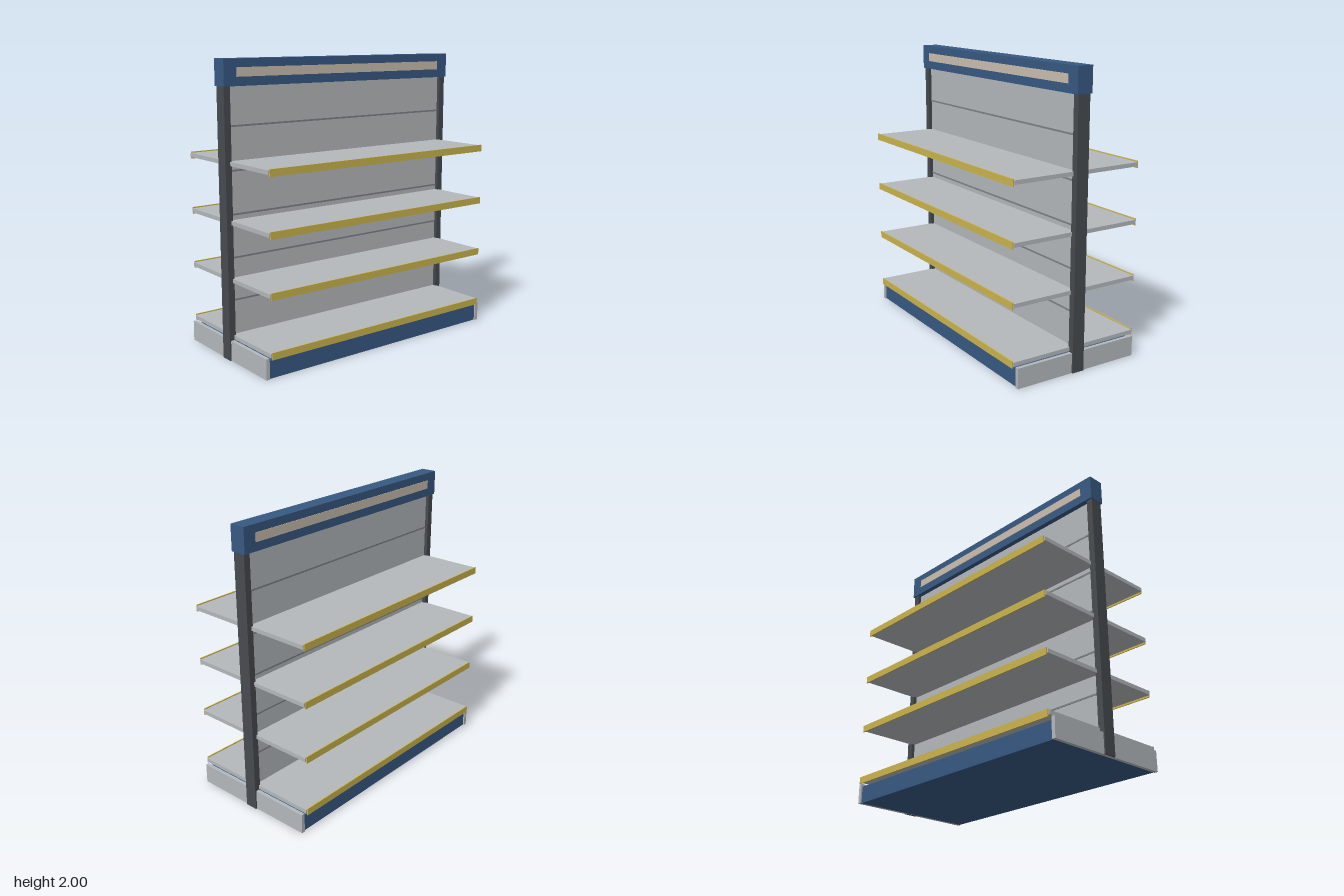
import * as THREE from 'three';

export function createModel() {
  const model = new THREE.Group();
  model.name = 'doubleSidedShelfUnit';

  const mat = (name, color) => {
    const m = new THREE.MeshStandardMaterial({ color });
    m.name = name;
    return m;
  };
  const blue = mat('blue', 0x375982);
  const grey = mat('light grey', 0xb4b8bb);
  const dark = mat('dark grey', 0x474b4f);
  const groove = mat('groove grey', 0x7e8386);
  const yellow = mat('yellow', 0xcab44c);
  const cream = mat('cream', 0xcabfaf);

  // Box given by its centre and size
  const box = (name, material, [x, y, z], [w, h, d]) => {
    const mesh = new THREE.Mesh(new THREE.BoxGeometry(w, h, d), material);
    mesh.name = name;
    mesh.position.set(x, y, z);
    model.add(mesh);
  };

  // Central back panel, plinth and header
  box('backPanel', grey, [0, 0.975, 0], [1.86, 1.71, 0.04]);
  box('plinth', blue, [0, 0.06, 0], [1.87, 0.12, 0.92]);
  box('header', blue, [0, 1.913, 0], [1.95, 0.174, 0.114]);

  // Uprights and plinth end plates
  for (const side of [-1, 1]) {
    box('upright', dark, [side * 0.947, 0.915, 0], [0.046, 1.83, 0.09]);
    box('plinthEnd', grey, [side * 0.948, 0.07, 0], [0.026, 0.14, 0.94]);
  }

  // Both faces carry the same shelves, panel joints and header insert
  for (const face of [-1, 1]) {
    box('headerInsert', cream, [0, 1.915, face * 0.0585], [1.76, 0.06, 0.005]);
    for (let i = 0; i < 5; i++) {
      box('panelJoint', groove, [0, 0.41 + i * 0.29, face * 0.021], [1.85, 0.012, 0.004]);
    }
    for (let i = 0; i < 4; i++) {
      const y = 0.16 + i * 0.39;
      box('shelf', grey, [0, y, face * 0.2525], [1.87, 0.028, 0.465]);
      box('priceRail', yellow, [0, y - 0.003, face * 0.4885], [1.855, 0.048, 0.008]);
    }
  }

  return model;
}
